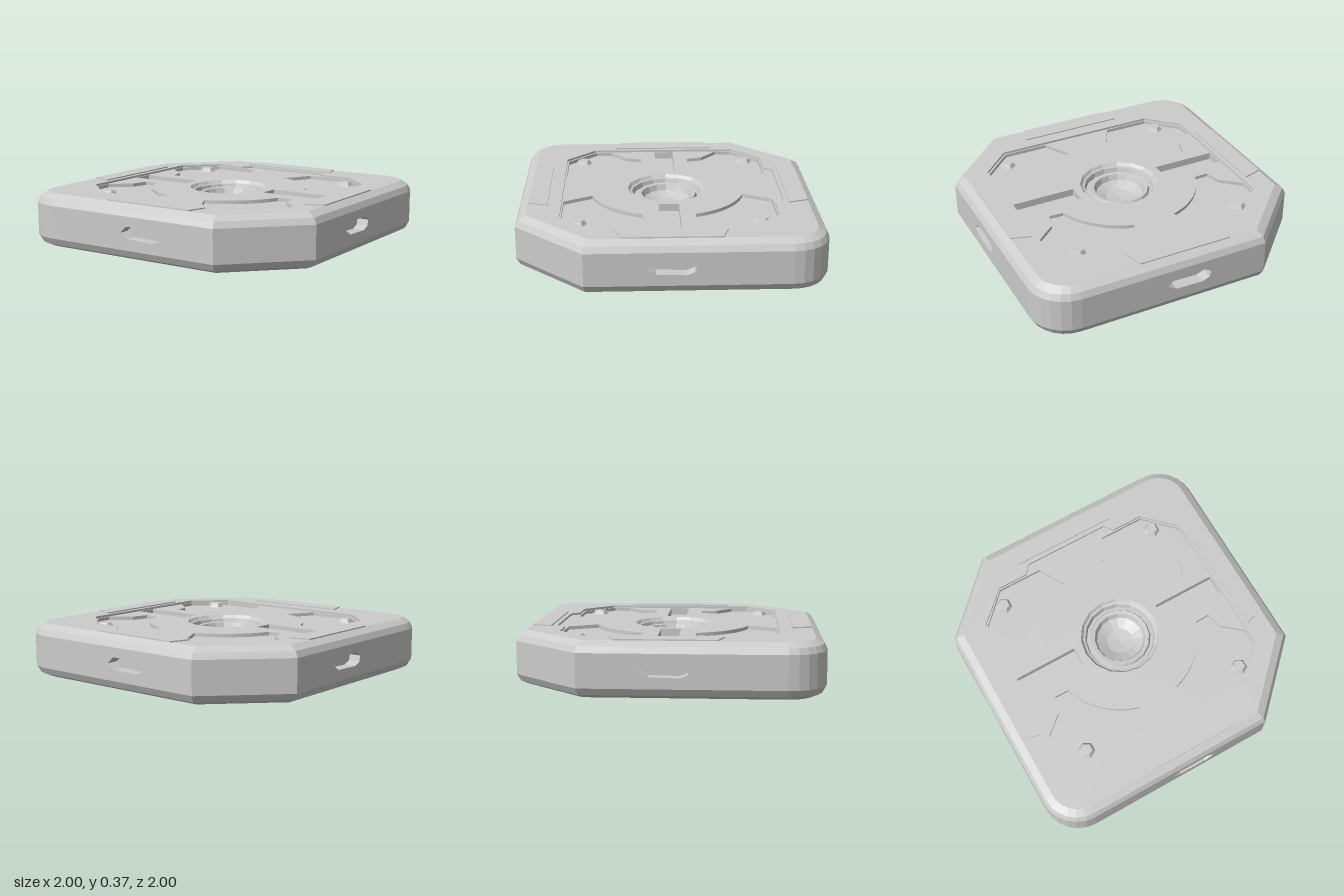
import * as THREE from 'three';

const mat = new THREE.MeshStandardMaterial({ color: 0xcccccc, flatShading: true });
const vec = (pts) => pts.map(([x, z]) => new THREE.Vector2(x, z));

function addMesh(parent, name, geometry) {
  const mesh = new THREE.Mesh(geometry, mat);
  mesh.name = name;
  parent.add(mesh);
  return mesh;
}

// Horizontal plate from an (x, z) outline; its top face lies at height top
function plate(parent, name, pts, top, depth, holes = []) {
  const shape = new THREE.Shape(vec(pts));
  holes.forEach((h) => shape.holes.push(new THREE.Path(vec(h))));
  const geo = new THREE.ExtrudeGeometry(shape, { depth, bevelEnabled: false });
  geo.rotateX(Math.PI / 2).translate(0, top, 0);
  return addMesh(parent, name, geo);
}

// Square outline inset by d: two rounded corners, two cut corners
function outline(d) {
  const h = 1 - d, c = 0.55 - 0.414 * d, r = 0.25 - d;
  const half = [[h, c], [h, 0.25], [h, -0.25]];
  for (let i = 0; i <= 6; i++) {
    const a = (i / 6) * Math.PI / 2;
    half.push([0.75 + r * Math.cos(a), -0.75 - r * Math.sin(a)]);
  }
  half.push([0.25, -h], [-0.25, -h], [-c, -h]);
  return [...half, ...half.map(([x, z]) => [-x, -z])];
}

// Side shell lofted through inset rings, left open where the ports sit
function shellGeometry() {
  const levels = [[0.08, 0], [0.025, 0.025], [0, 0.07], [0, 0.29], [0.02, 0.33], [0.07, 0.36]];
  const portSegments = [1, 10, 14, 23];
  const pos = [], index = [], n = 26;
  levels.forEach(([d, y]) => outline(d).forEach(([x, z]) => pos.push(x, y, z)));
  for (let l = 0; l < levels.length - 1; l++) {
    for (let i = 0; i < n; i++) {
      if (l === 2 && portSegments.includes(i)) continue;
      const j = (i + 1) % n, a = l * n + i, b = l * n + j;
      index.push(a, b, b + n, a, b + n, a + n);
    }
  }
  const centre = pos.length / 3;
  pos.push(0, 0, 0);
  for (let i = 0; i < n; i++) index.push(centre, (i + 1) % n, i);
  const geo = new THREE.BufferGeometry();
  geo.setAttribute('position', new THREE.Float32BufferAttribute(pos, 3));
  geo.setIndex(index);
  const flat = geo.toNonIndexed();
  flat.computeVertexNormals();
  return flat;
}

// Wall panel with a tapered slot and a closed back
function addPort(parent, angle) {
  const port = new THREE.Group();
  port.name = 'sidePort';
  const shape = new THREE.Shape(vec([[-0.25, 0.07], [0.25, 0.07], [0.25, 0.29], [-0.25, 0.29]]));
  shape.holes.push(new THREE.Path(vec([
    [-0.16, 0.18], [-0.11, 0.225], [0.1, 0.23], [0.15, 0.2], [0.14, 0.16], [0.09, 0.14], [-0.1, 0.145],
  ])));
  const panel = new THREE.ExtrudeGeometry(shape, { depth: 0.08, bevelEnabled: false });
  addMesh(port, 'portWall', panel.translate(0, 0, 0.92));
  addMesh(port, 'portBack', new THREE.PlaneGeometry(0.4, 0.16).translate(0, 0.18, 0.921));
  port.rotation.y = angle;
  parent.add(port);
}

// Corner pocket between the central disc and the frame
function pocketOutline(sx, sz) {
  const pts = [];
  for (let i = 0; i <= 8; i++) {
    const a = THREE.MathUtils.degToRad(74 - (i / 8) * 55);
    pts.push([0.53 * Math.cos(a), 0.53 * Math.sin(a)]);
  }
  pts.push([0.6, 0.17], [0.63, 0.28], [0.76, 0.39], [0.76, 0.5], [0.56, 0.7], [0.25, 0.7]);
  return pts.map(([x, z]) => [x * sx, z * sz]);
}

export function createModel() {
  const model = new THREE.Group();
  model.name = 'tile';
  addMesh(model, 'bodyShell', shellGeometry());
  for (let k = 0; k < 4; k++) addPort(model, k * Math.PI / 2);

  // Raised rim around the recessed face
  const recess = [
    [0.77, 0.51], [0.57, 0.71], [-0.57, 0.71], [-0.77, 0.51], [-0.77, -0.51], [-0.56, -0.71],
    [-0.35, -0.71], [-0.3, -0.77], [0.3, -0.77], [0.35, -0.71], [0.56, -0.71], [0.77, -0.51],
  ];
  plate(model, 'rim', outline(0.07), 0.36, 0.06, [recess]);

  // Slightly raised strips along the middle of each rim side
  for (let k = 0; k < 4; k++) {
    const strip = plate(model, 'rimStrip', [[-0.36, 0.8], [0.36, 0.8], [0.32, 0.93], [-0.32, 0.93]], 0.368, 0.02);
    strip.rotation.y = k * Math.PI / 2;
  }

  // Face plate pierced by pockets, side channels and the central well
  const corners = [[1, 1], [-1, 1], [1, -1], [-1, -1]];
  const pockets = corners.map(([sx, sz]) => pocketOutline(sx, sz));
  const channels = [1, -1].map((s) => [[0.32, -0.07], [0.76, -0.07], [0.76, 0.065], [0.32, 0.065]].map(([x, z]) => [x * s, z]));
  const well = Array.from({ length: 16 }, (_, i) => {
    const a = (i / 16) * Math.PI * 2;
    return [0.27 * Math.sin(a), 0.27 * Math.cos(a)];
  });
  plate(model, 'facePlate', recess, 0.345, 0.1, [...pockets, ...channels, well]);
  pockets.forEach((p) => plate(model, 'pocketFloor', p, 0.322, 0.02));
  channels.forEach((c) => plate(model, 'channelFloor', c, 0.295, 0.02));

  // Stepped central well with a shallow faceted bowl
  const profile = vec([
    [0, 0.225], [0.09, 0.235], [0.16, 0.265], [0.175, 0.305], [0.2, 0.308],
    [0.21, 0.288], [0.23, 0.288], [0.24, 0.322], [0.255, 0.325], [0.27, 0.345],
  ]);
  const lathe = addMesh(model, 'centralWell', new THREE.LatheGeometry(profile, 16));
  lathe.material = mat.clone();
  lathe.material.side = THREE.DoubleSide;

  // Small studs in the pocket corners
  corners.forEach(([sx, sz]) => {
    const stud = addMesh(model, 'cornerStud', new THREE.CylinderGeometry(0.04, 0.06, 0.03, 6));
    stud.position.set(0.59 * sx, 0.334, 0.59 * sz);
  });
  return model;
}
